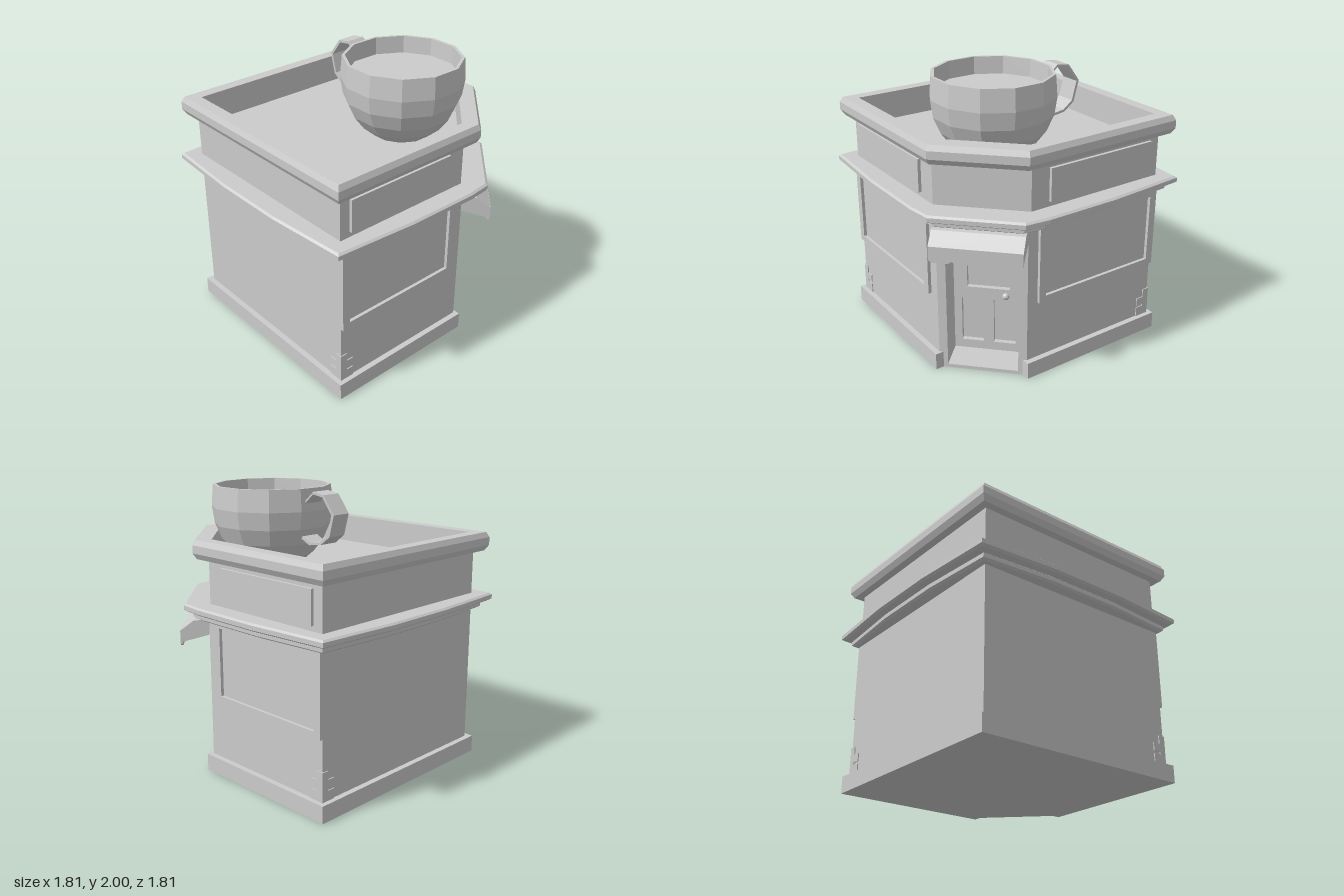
import * as THREE from 'three';

const mat = new THREE.MeshStandardMaterial({ color: 0xcccccc, flatShading: true, side: THREE.DoubleSide });

function add(parent, name, geo, x = 0, y = 0, z = 0) {
  const mesh = new THREE.Mesh(geo, mat);
  mesh.name = name;
  mesh.position.set(x, y, z);
  parent.add(mesh);
  return mesh;
}

// Skin between stacked [outline, y] rings; outlines run counter-clockwise seen from above.
function loft(rings, bottom = true, top = true) {
  const pos = [];
  const put = ([outline, y], i) => pos.push(outline[i][0], y, outline[i][1]);
  const n = rings[0][0].length;
  for (let r = 0; r < rings.length - 1; r++) {
    const a = rings[r], b = rings[r + 1];
    for (let i = 0; i < n; i++) {
      const j = (i + 1) % n;
      put(a, i); put(a, j); put(b, j);
      put(a, i); put(b, j); put(b, i);
    }
  }
  const cap = (ring, flip) => {
    const pts = ring[0].map(([x, z]) => new THREE.Vector2(x, -z));
    for (const t of THREE.ShapeUtils.triangulateShape(pts, [])) {
      for (const i of flip ? [t[0], t[2], t[1]] : t) put(ring, i);
    }
  };
  if (bottom) cap(rings[0], true);
  if (top) cap(rings[rings.length - 1], false);
  const geo = new THREE.BufferGeometry();
  geo.setAttribute('position', new THREE.Float32BufferAttribute(pos, 3));
  geo.computeVertexNormals();
  return geo;
}

// Square plan with the front corner cut off
const plan = (s, c) => [[-s, s], [c, s], [s, c], [s, -s], [-s, -s]];

// Square plan whose cut corner also holds the doorway recess
function recessedPlan(s, c, inner) {
  const at = (t, d) => [0.545 + (t + d) * Math.SQRT1_2, 0.545 + (d - t) * Math.SQRT1_2];
  return [[-s, s], [c, s], [c, inner], at(-0.245, 0), at(-0.245, -0.26), at(0.245, -0.26),
    at(0.245, 0), [inner, c], [s, c], [s, -s], [-s, -s]];
}

// Slightly bowed plan of the ledges, pulled in by o
function bowedPlan(o) {
  const m = 0.905 - o, k = 0.865 - o, e = 0.885 - o, c = 0.443 - 0.5 * o, q = 0.27;
  return [[-k, k], [-q, m], [q, m], [c, e], [e, c], [m, q], [m, -q], [k, -k],
    [q, -m], [-q, -m], [-k, -k], [-m, -q], [-m, q]];
}

const polygon = (pts) => new THREE.Shape(pts.map(([x, y]) => new THREE.Vector2(x, y)));
const rect = (x0, y0, x1, y1) => [[x0, y0], [x1, y0], [x1, y1], [x0, y1]];
const extrude = (shape, depth) =>
  new THREE.ExtrudeGeometry(shape, { depth, bevelEnabled: false, curveSegments: 4 });

function plate(outer, holes, depth) {
  const shape = polygon(outer);
  shape.holes = holes.map(polygon);
  return extrude(shape, depth);
}

// Profile given as (z, y), extruded to a width centred on x
const crossways = (pts, width) =>
  extrude(polygon(pts), width).rotateY(-Math.PI / 2).translate(width / 2, 0, 0);

function building(root) {
  const plinth = recessedPlan(0.8, 0.35, 0.74);
  add(root, 'plinth', loft([[plinth, 0], [plinth, 0.12]]));
  const lower = recessedPlan(0.76, 0.33, 0.76);
  add(root, 'lowerWalls', loft([[lower, 0.01], [lower, 1.0]]));
  add(root, 'lintel', loft([[plan(0.76, 0.33), 1.0], [plan(0.76, 0.33), 1.14]]));
  add(root, 'upperWalls', loft([[plan(0.76, 0.31), 1.14], [plan(0.76, 0.31), 1.56]], false, false));

  // Two stacked ledges with bevelled edges
  const ledge = (o, y0, y1) => loft([[bowedPlan(o + 0.018), y0], [bowedPlan(o), y0 + 0.012],
    [bowedPlan(o), y1 - 0.012], [bowedPlan(o + 0.015), y1]]);
  add(root, 'lowerLedge', ledge(0.057, 1.115, 1.168));
  add(root, 'upperLedge', ledge(0, 1.168, 1.222));

  // Cornice, parapet inside and roof floor in one skin
  add(root, 'corniceAndRoof', loft([
    [plan(0.75, 0.31), 1.53], [plan(0.815, 0.37), 1.53], [plan(0.838, 0.383), 1.57],
    [plan(0.838, 0.383), 1.625], [plan(0.82, 0.375), 1.662],
    [plan(0.735, 0.305), 1.662], [plan(0.735, 0.305), 1.46],
  ], false, true));
}

// Display window and sign panel on the front, then on the mirrored right wall
function wallPanels(root) {
  for (const side of [1, -1]) {
    const wall = new THREE.Group();
    wall.name = side > 0 ? 'frontWallPanels' : 'leftWallPanels';
    if (side < 0) wall.rotation.y = Math.PI / 2;
    add(wall, 'windowFrame', plate(rect(-0.505, 0.545, 0.505, 1.12),
      [rect(-0.45, 0.59, 0.45, 1.075)], 0.025), -0.255 * side, 0, 0.758);
    add(wall, 'signPanel', new THREE.BoxGeometry(0.855, 0.23, 0.03), -0.2575 * side, 1.375, 0.767);
    root.add(wall);
  }
}

// Stepped corner bricks on the two square corners beside the shop fronts
function cornerBricks(root) {
  const rows = [[0.12, 0.19, 0.105], [0.19, 0.207, 0.05], [0.207, 0.265, 0.105], [0.265, 0.325, 0.05]];
  for (const s of [1, -1]) {
    for (const [y0, y1, len] of rows) {
      const p = 0.767 - len / 2;
      add(root, 'cornerBrick', new THREE.BoxGeometry(len, y1 - y0, len), -p * s, (y0 + y1) / 2, p * s);
    }
  }
}

function entrance(root) {
  const g = new THREE.Group();
  g.name = 'entrance';
  g.position.set(0.545, 0, 0.545);
  g.rotation.y = Math.PI / 4;
  root.add(g);

  add(g, 'doorSill', new THREE.BoxGeometry(0.49, 0.025, 0.26), 0, 0.0125, -0.13);
  add(g, 'door', plate(rect(-0.245, 0.025, 0.245, 1.0), [
    rect(-0.15, 0.52, 0.15, 0.945),
    rect(-0.19, 0.09, -0.035, 0.43),
    rect(0.035, 0.09, 0.19, 0.43),
  ], 0.035), 0, 0, -0.26);
  add(g, 'doorKnob', new THREE.SphereGeometry(0.025, 8, 6), 0.125, 0.485, -0.195);

  // Awning: canopy, closed cheeks and scalloped valance
  const top = [[0, 1.105], [0.105, 1.102], [0.2, 1.03]];
  add(g, 'awningCanopy', crossways([...top, [0.19, 1.025], [0.1, 1.09], [0, 1.093]], 0.61));
  for (const s of [1, -1]) {
    add(g, 'awningCheek', crossways([...top, [0.2, 0.945], [0, 1.0]], 0.012), s * 0.298);
  }
  const valance = new THREE.Shape();
  const count = 8, w = 0.61 / count;
  valance.moveTo(0.305, 1.03);
  valance.lineTo(-0.305, 1.03);
  valance.lineTo(-0.305, 0.935);
  for (let i = 0; i < count; i++) {
    const x = -0.305 + i * w;
    valance.quadraticCurveTo(x + w / 2, 0.9, x + w, 0.935);
  }
  add(g, 'awningValance', extrude(valance, 0.015), 0, 0, 0.187);
}

function cup(root) {
  const g = new THREE.Group();
  g.name = 'cup';
  g.position.set(0.24, 0, 0.245);
  root.add(g);
  // Twelve-sided bowl with its drink surface; radii are measured to the flats
  const profile = [[0, 1.46], [0.2, 1.46], [0.28, 1.53], [0.345, 1.62], [0.39, 1.73], [0.407, 1.85],
    [0.395, 2.0], [0.375, 2.0], [0.368, 1.88], [0, 1.88]]
    .map(([r, y]) => new THREE.Vector2(r / Math.cos(Math.PI / 12), y));
  add(g, 'bowl', new THREE.LatheGeometry(profile, 12, Math.PI / 12));

  // Flat band handle at the back
  const outer = [[-0.13, 1.87], [-0.155, 1.92], [-0.23, 1.987], [-0.325, 1.972], [-0.417, 1.85],
    [-0.378, 1.705], [-0.3, 1.645], [-0.19, 1.63], [-0.09, 1.68]];
  const inner = outer.map(([z, y]) => [-0.22 + (z + 0.22) * 0.9, 1.81 + (y - 1.81) * 0.9]);
  add(g, 'handle', crossways([...outer, ...inner.reverse()], 0.14), 0, 0, -0.245);
}

export function createModel() {
  const root = new THREE.Group();
  root.name = 'cornerCafe';
  building(root);
  wallPanels(root);
  cornerBricks(root);
  entrance(root);
  cup(root);
  return root;
}
